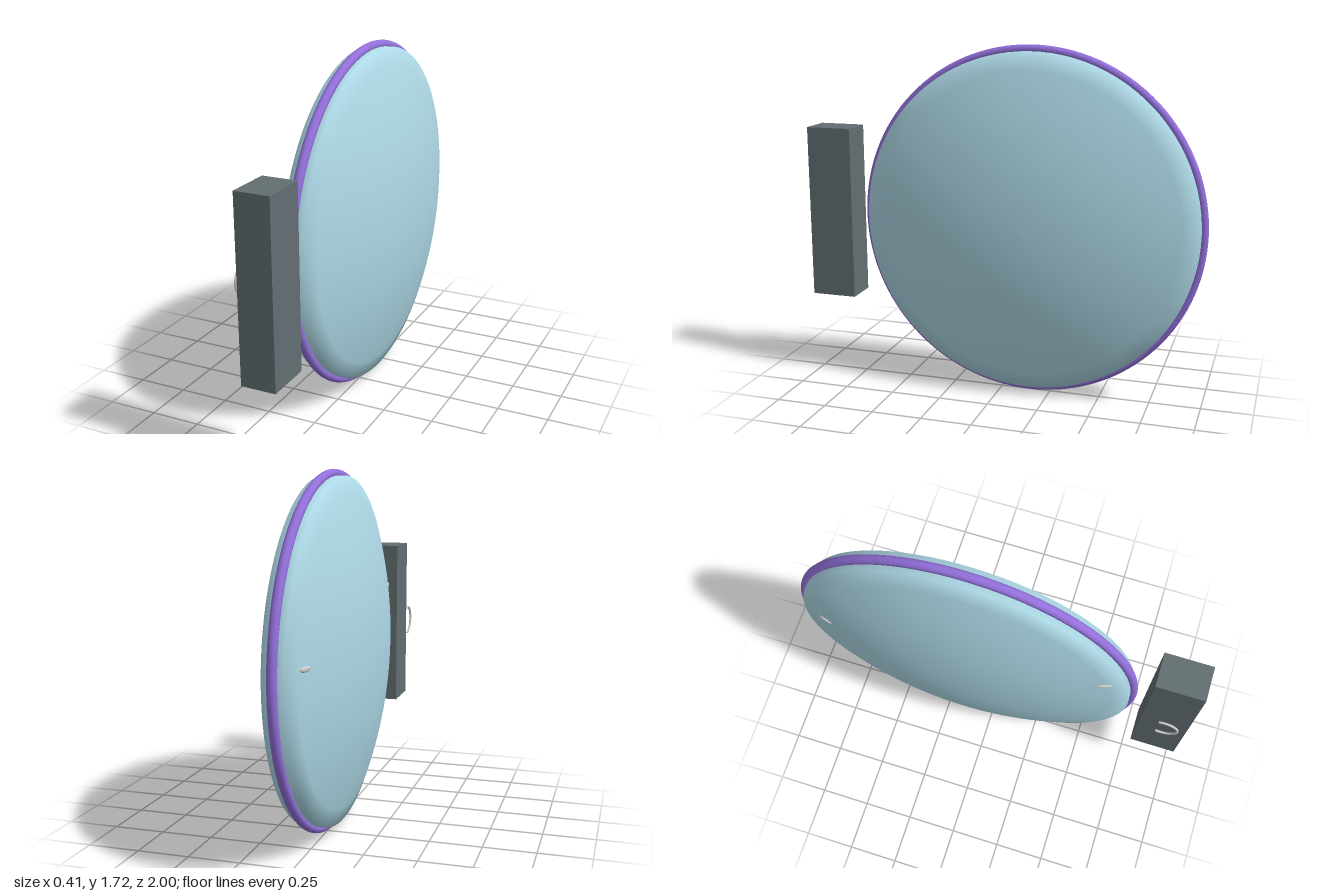
import * as THREE from 'three';

const mat = (color) => new THREE.MeshStandardMaterial({ color });

export function createModel() {
  const group = new THREE.Group();
  const centre = new THREE.Vector3(0, 0.865, -0.14);
  const add = (name, geometry, material, x, y, z) => {
    const mesh = new THREE.Mesh(geometry, material);
    mesh.name = name;
    mesh.position.set(x, y, z);
    group.add(mesh);
    return mesh;
  };

  // Lens-shaped disc: two shallow spherical caps joined by a narrow rim
  const rimRadius = 0.83, rimHalf = 0.05, half = 0.207;
  const sag = half - rimHalf;
  const R = (rimRadius ** 2 + sag ** 2) / (2 * sag);
  const surface = (r) => half - R + Math.sqrt(R * R - r * r);
  const steps = 10, profile = [];
  for (let i = 0; i <= steps; i++) {
    const r = (rimRadius * i) / steps;
    profile.push(new THREE.Vector2(r, -surface(r)));
  }
  for (let i = steps; i >= 0; i--) {
    const r = (rimRadius * i) / steps;
    profile.push(new THREE.Vector2(r, surface(r)));
  }
  const lens = new THREE.LatheGeometry(profile, 96);
  lens.rotateZ(Math.PI / 2);
  add('disc', lens, mat(0xadd8e6), ...centre.toArray());

  // Ring around the edge of the disc
  const ring = new THREE.TorusGeometry(0.838, 0.022, 16, 128);
  ring.rotateY(Math.PI / 2);
  add('edgeRing', ring, mat(0x9370db), ...centre.toArray());

  // Upright block in front of the disc
  add('block', new THREE.BoxGeometry(0.168, 0.87, 0.23), mat(0x636e72), 0, 0.865, 0.885);

  // Open curved handle beside the block
  const grey = mat(0xcccccc);
  const arc = new THREE.TorusGeometry(0.072, 0.006, 8, 32, Math.PI * 1.25);
  arc.rotateZ(-Math.PI * 0.625);
  arc.rotateY(-Math.PI / 2);
  add('handle', arc, grey, -0.12, 0.875, 0.88);

  // Small studs lying on the disc surface
  for (const [y, z] of [[1.11, 0.555], [0.92, -0.84]]) {
    const dz = z - centre.z, r = Math.hypot(dz, y - centre.y);
    const stud = add('stud', new THREE.SphereGeometry(1, 16, 10), grey, -surface(r), y, z);
    stud.scale.set(0.008, 0.013, 0.038);
    stud.rotation.y = Math.asin(dz / R);
  }
  return group;
}
